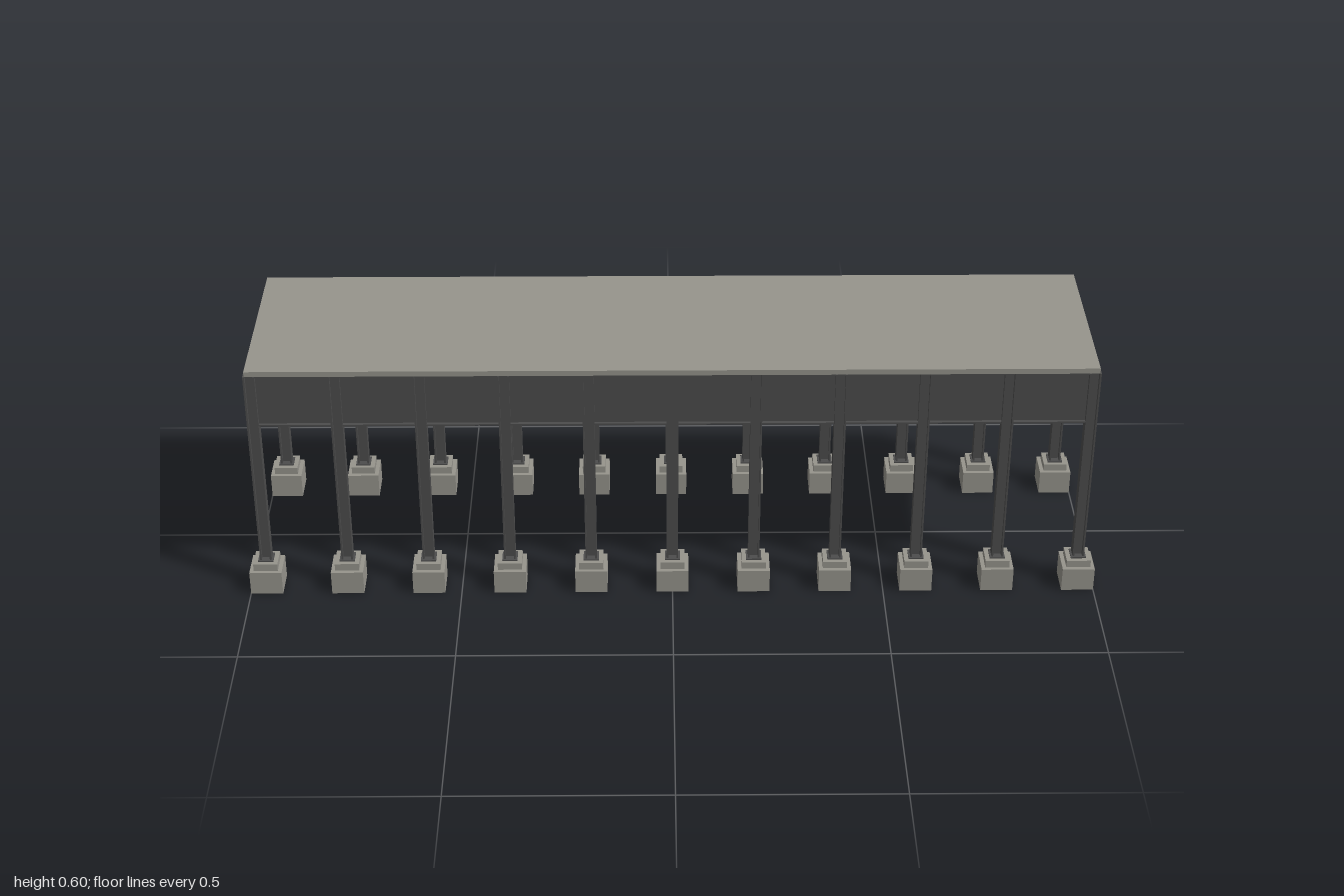
import * as THREE from 'three';

const concrete = new THREE.MeshStandardMaterial({ color: 0x96948c });
concrete.name = 'concrete';
const steel = new THREE.MeshStandardMaterial({ color: 0x4c4c4c });
steel.name = 'dark steel';

const BAYS = 10, PITCH = 0.1924, COL_Z = 0.2117;
const START = -BAYS * PITCH / 2;
const DECK_BOTTOM = 0.582;

function box(name, material, w, h, d, x, y, z) {
  const mesh = new THREE.Mesh(new THREE.BoxGeometry(w, h, d), material);
  mesh.name = name;
  mesh.position.set(x, y + h / 2, z); // y is the underside
  return mesh;
}

// I-shaped profile, flanges at top and bottom, extruded along z and centred
function iBeam(name, width, height, flange, web, length) {
  const a = width / 2, b = height / 2, c = web / 2, f = b - flange;
  const shape = new THREE.Shape([
    [-a, -b], [a, -b], [a, -f], [c, -f], [c, f], [a, f],
    [a, b], [-a, b], [-a, f], [-c, f], [-c, -f], [-a, -f],
  ].map(([x, y]) => new THREE.Vector2(x, y)));
  const geometry = new THREE.ExtrudeGeometry(shape, { depth: length, bevelEnabled: false });
  geometry.translate(0, 0, -length / 2);
  const mesh = new THREE.Mesh(geometry, steel);
  mesh.name = name;
  return mesh;
}

// Stepped footing, base plate and H-section column
function createSupport(x, z) {
  const support = new THREE.Group();
  support.name = 'support';
  support.position.set(x, 0, z);
  support.add(box('footing', concrete, 0.076, 0.059, 0.076, 0, 0, 0));
  support.add(box('pedestal', concrete, 0.057, 0.018, 0.057, 0, 0.059, 0));
  support.add(box('basePlate', steel, 0.036, 0.003, 0.036, 0, 0.077, 0));
  const height = DECK_BOTTOM - 0.08;
  for (const side of [-1, 1]) {
    support.add(box('columnFlange', steel, 0.004, height, 0.027, side * 0.0115, 0.08, 0));
  }
  support.add(box('columnWeb', steel, 0.02, height, 0.003, 0, 0.08, 0));
  return support;
}

export function createModel() {
  const model = new THREE.Group();
  model.name = 'elevatedPlatform';

  // Deck slab
  model.add(box('deck', concrete, 1.944, 0.013, 0.449, 0, DECK_BOTTOM, 0));

  for (const side of [-1, 1]) {
    // Two rows of supports
    for (let i = 0; i <= BAYS; i++) {
      model.add(createSupport(START + i * PITCH, side * COL_Z));
    }
    // Deep girders fitted between the columns
    for (let i = 0; i < BAYS; i++) {
      const girder = iBeam('sideGirder', 0.022, 0.133, 0.004, 0.006, PITCH - 0.026);
      girder.rotation.y = Math.PI / 2;
      girder.position.set(START + (i + 0.5) * PITCH, DECK_BOTTOM - 0.0665, side * COL_Z);
      model.add(girder);
    }
  }

  // Cross beams at every column line and halfway between
  for (let i = 0; i <= BAYS * 2; i++) {
    const end = i === 0 || i === BAYS * 2;
    const depth = end ? 0.082 : 0.07;
    const beam = iBeam(end ? 'endBeam' : 'crossBeam', 0.02, depth, 0.004, 0.005, end ? 0.4 : 0.41);
    beam.position.set(START + i * PITCH / 2, DECK_BOTTOM - depth / 2, 0);
    model.add(beam);
  }
  return model;
}
